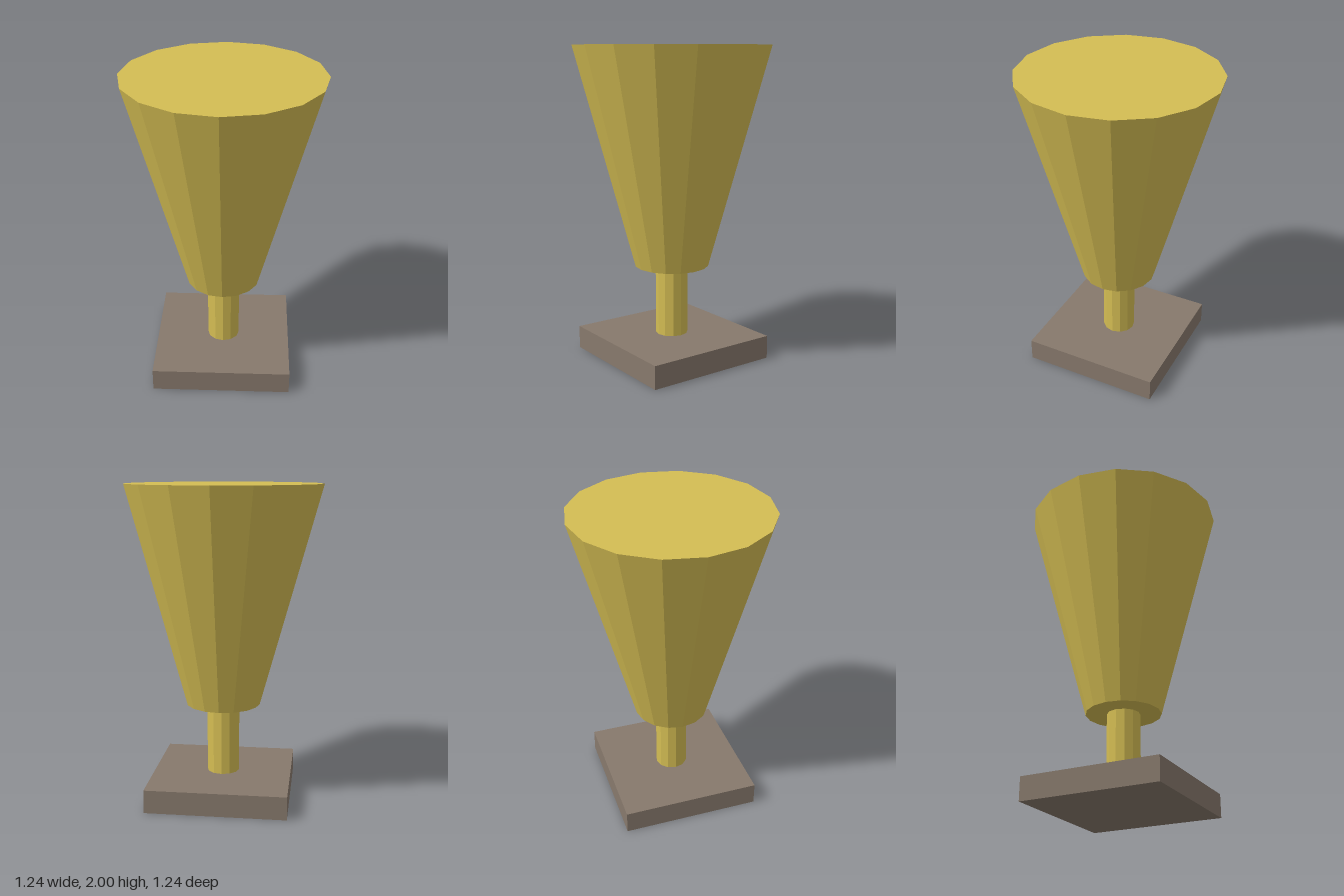
import * as THREE from 'three';

export function createModel() {
  const model = new THREE.Group();
  model.name = 'trophyCup';

  const gold = new THREE.MeshStandardMaterial({ color: 0xd4bd53, flatShading: true });
  gold.name = 'gold';
  const stone = new THREE.MeshStandardMaterial({ color: 0x87796c, flatShading: true });
  stone.name = 'greyBrown stone';

  // Adds a part resting on height y
  const add = (name, geometry, material, y, height) => {
    const mesh = new THREE.Mesh(geometry, material);
    mesh.name = name;
    mesh.position.y = y + height / 2;
    model.add(mesh);
  };

  // Square plinth
  add('base', new THREE.BoxGeometry(0.885, 0.148, 0.885), stone, 0, 0.148);
  // Slim faceted stem
  add('stem', new THREE.CylinderGeometry(0.104, 0.104, 0.452, 12), gold, 0.148, 0.452);
  // Closed flaring cup
  add('cup', new THREE.CylinderGeometry(0.62, 0.237, 1.4, 16), gold, 0.6, 1.4);

  return model;
}
